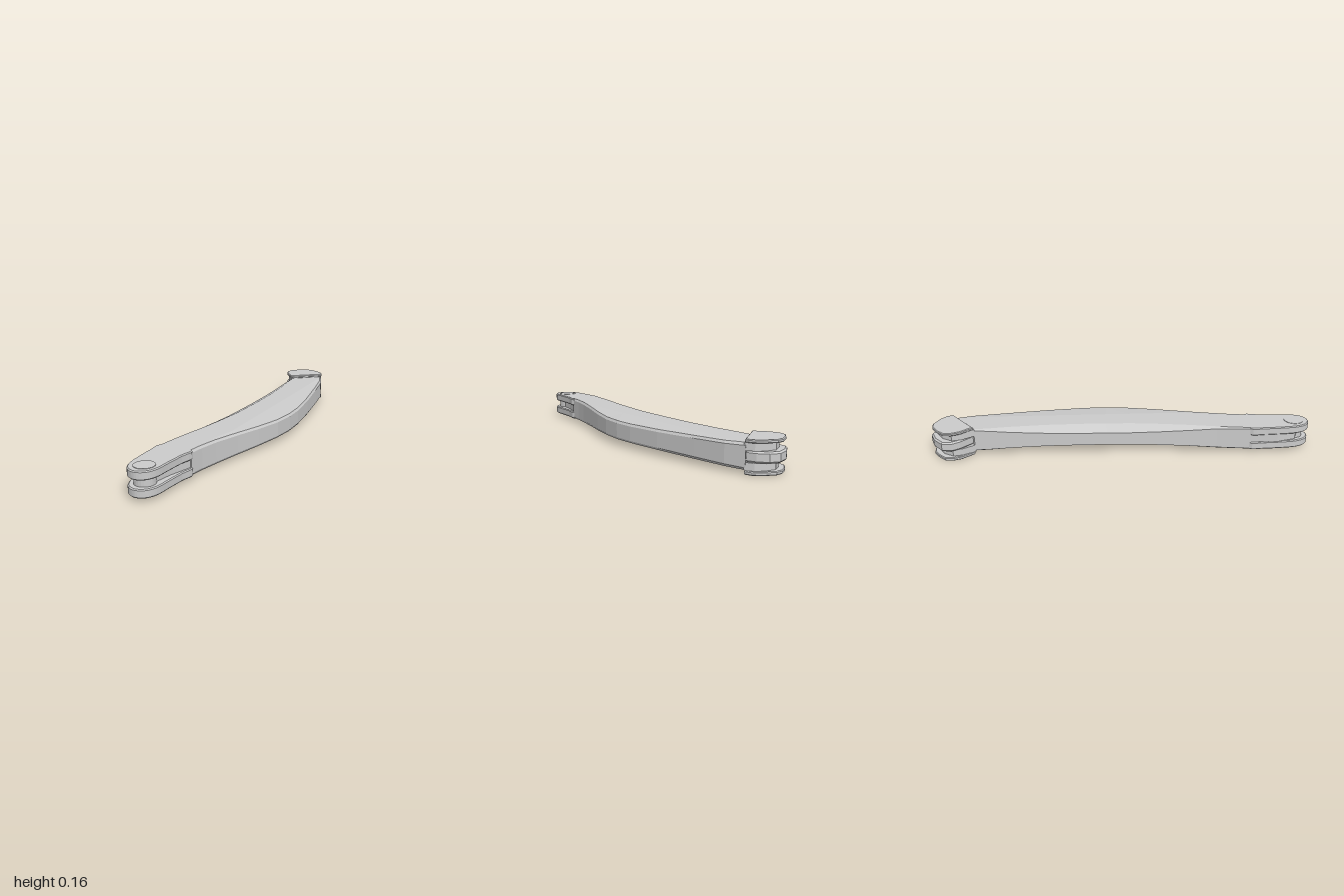
import * as THREE from 'three';

const material = new THREE.MeshStandardMaterial({ color: 0xcccccc, flatShading: true, side: THREE.DoubleSide });

// Closed smooth outline in plan (x, z) extruded between two heights.
function plate(name, points, y0, y1, bevel = 0, smooth = true) {
  const shape = new THREE.Shape();
  if (smooth) {
    const curve = new THREE.CatmullRomCurve3(points.map(([x, z]) => new THREE.Vector3(x, z, 0)), true, 'centripetal');
    shape.setFromPoints(curve.getPoints(points.length * 4).slice(0, -1).map(p => new THREE.Vector2(p.x, p.y)));
  } else shape.setFromPoints(points.map(([x, z]) => new THREE.Vector2(x, z)));
  const geometry = new THREE.ExtrudeGeometry(shape, {
    depth: y1 - y0 - 2 * bevel, bevelEnabled: bevel > 0, bevelThickness: bevel,
    bevelSize: bevel, bevelOffset: -bevel, bevelSegments: 1,
  });
  geometry.rotateX(Math.PI / 2).translate(0, y1 - bevel, 0);
  const mesh = new THREE.Mesh(geometry, material);
  mesh.name = name;
  return mesh;
}

// Blade-like arm: cross-sections [z, left edge, right edge, hollow of the inner side].
function armBody() {
  const keys = [
    [-0.84, -0.11, 0.045, 0], [-0.74, -0.112, 0.08, 0.15], [-0.6, -0.115, 0.112, 0.5], [-0.4, -0.118, 0.152, 0.85],
    [-0.2, -0.122, 0.176, 1], [-0.08, -0.124, 0.179, 1], [0.05, -0.127, 0.165, 1], [0.2, -0.132, 0.13, 0.8],
    [0.35, -0.137, 0.087, 0.5], [0.5, -0.143, 0.048, 0.1], [0.6, -0.152, 0.028, 0], [0.68, -0.16, 0.018, 0],
  ];
  const mid = 0.082, positions = [], index = [], n = 10;
  for (const [s, left, right, hollow] of keys) {
    const shear = -0.84 * THREE.MathUtils.clamp((-0.5 - s) / 0.34, 0, 1);
    const edge = 0.062 - 0.013 * THREE.MathUtils.clamp((right - 0.04) / 0.13, 0, 1);
    const shoulder = Math.max(left + 0.03, Math.min(0.05, right - 0.03));
    const half = [ // upper half from the right wall to the left wall
      [right, edge - 0.012], [right - 0.008, edge], [shoulder, 0.062],
      [left + 0.008 + 0.05 * hollow, 0.062], [left, 0.056 - 0.022 * hollow],
    ];
    const ring = [...half.map(([x, h]) => [x, mid - h]).reverse(), ...half.map(([x, h]) => [x, mid + h])];
    for (const [x, y] of ring) positions.push(x, y, s + shear * (x + 0.03));
  }
  for (let i = 0; i < keys.length - 1; i++) for (let j = 0; j < n; j++) {
    const a = i * n + j, b = i * n + (j + 1) % n;
    index.push(a, b, b + n, a, b + n, a + n);
  }
  const last = (keys.length - 1) * n;
  for (let k = 1; k < n - 1; k++) index.push(0, k + 1, k, last, last + k, last + k + 1);
  const geometry = new THREE.BufferGeometry();
  geometry.setAttribute('position', new THREE.Float32BufferAttribute(positions, 3));
  geometry.setIndex(index);
  geometry.computeVertexNormals();
  const mesh = new THREE.Mesh(geometry, material);
  mesh.name = 'armBody';
  return mesh;
}

function disc(name, x, y, z, radius, height) {
  const mesh = new THREE.Mesh(new THREE.CylinderGeometry(radius, radius, height, 24), material);
  mesh.position.set(x, y, z);
  mesh.name = name;
  return mesh;
}

export function createModel() {
  const model = new THREE.Group();
  model.name = 'curvedArm';
  model.add(armBody());

  // Forked front end: two cheeks with a recessed core between them
  const cheek = [
    [-0.159, 0.67], [-0.162, 0.75], [-0.158, 0.84], [-0.146, 0.93], [-0.117, 0.98], [-0.07, 1],
    [-0.025, 0.982], [0, 0.935], [0.006, 0.85], [0.012, 0.75], [0.019, 0.67],
  ];
  const core = [[-0.158, 0.66], [-0.158, 0.82], [-0.13, 0.92], [-0.07, 0.95], [-0.035, 0.9], [-0.02, 0.8], [0.018, 0.66]];
  model.add(plate('upperCheek', cheek, 0.102, 0.144, 0.005));
  model.add(plate('lowerCheek', cheek, 0.02, 0.062, 0.005));
  model.add(plate('forkCore', core, 0.06, 0.104, 0, false));
  model.add(disc('frontPivot', -0.07, 0.082, 0.92, 0.05, 0.128));

  // Rear clevis: angled cover plates, inner block and protruding tongue
  const cover = [
    [-0.112, -0.775], [-0.165, -0.835], [-0.182, -0.88], [-0.178, -0.92], [-0.145, -0.955], [-0.1, -0.985],
    [-0.06, -0.99], [0, -0.965], [0.035, -0.935], [0.048, -0.9],
  ];
  model.add(plate('upperCover', cover, 0.144, 0.16, 0.004, false));
  model.add(plate('lowerCover', cover, 0.002, 0.02, 0.004, false));
  const block = [
    [-0.11, -0.77], [-0.15, -0.83], [-0.16, -0.88], [-0.13, -0.93], [-0.08, -0.962],
    [-0.02, -0.955], [0.02, -0.935], [0.045, -0.9],
  ];
  model.add(plate('clevisUpperBlock', block, 0.108, 0.146, 0, false));
  model.add(plate('clevisLowerBlock', block, 0.018, 0.056, 0, false));
  const tongue = [
    [-0.1, -0.78], [-0.16, -0.84], [-0.184, -0.88], [-0.18, -0.93], [-0.13, -0.975], [-0.07, -1],
    [-0.02, -0.985], [0.02, -0.945], [0.04, -0.9],
  ];
  model.add(plate('tongue', tongue, 0.056, 0.108, 0.008, false));

  // Slim side rails closing the cut between arm and clevis
  for (const y of [0.136, 0.028]) {
    const rail = new THREE.Mesh(new THREE.BoxGeometry(0.2, 0.012, 0.01), material);
    rail.position.set(-0.032, y, -0.835);
    rail.rotation.y = Math.atan2(0.13, 0.155);
    rail.name = 'clevisRail';
    model.add(rail);
  }
  return model;
}
